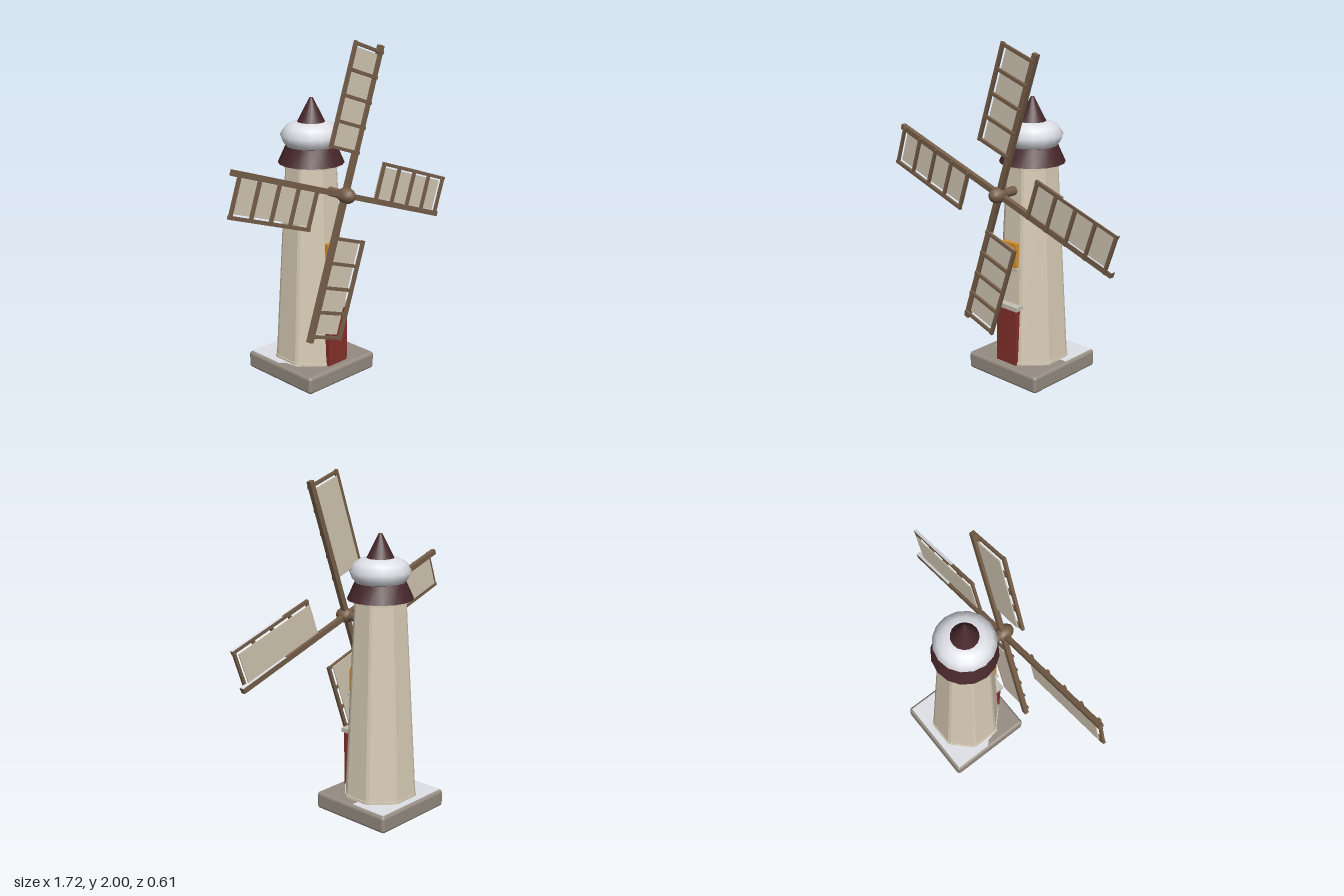
import * as THREE from 'three';
import { RoundedBoxGeometry } from 'three/addons/geometries/RoundedBoxGeometry.js';
import { toCreasedNormals } from 'three/addons/utils/BufferGeometryUtils.js';

const material = (name, color) => Object.assign(new THREE.MeshStandardMaterial({ color }), { name });

export function createModel() {
  const model = new THREE.Group();
  model.name = 'windmill';
  const plaster = material('cream plaster', 0xd9ccb6);
  const stone = material('grey stone', 0x958c81);
  const paleStone = material('pale stone', 0xc6c0b4);
  const wood = material('brown wood', 0x775f49);
  const cloth = material('sail cloth', 0xd2c7b3);
  const roof = material('maroon roof', 0x47272a);
  const snow = material('snow white', 0xeceef4);
  const red = material('red door paint', 0x84302a);
  const amber = material('amber glass', 0xd9922f);

  const add = (parent, name, geometry, mat, x = 0, y = 0, z = 0) => {
    const mesh = new THREE.Mesh(geometry, mat);
    mesh.name = name;
    mesh.position.set(x, y, z);
    parent.add(mesh);
    return mesh;
  };
  // Box given by its limits on each axis
  const box = (parent, name, mat, [x0, x1], [y0, y1], [z0, z1]) =>
    add(parent, name, new THREE.BoxGeometry(x1 - x0, y1 - y0, z1 - z0), mat,
      (x0 + x1) / 2, (y0 + y1) / 2, (z0 + z1) / 2);

  const axisZ = -0.036; // centre line of the tower

  // Octagonal frustum with narrow chamfers along its corners
  const octagon = (topApothem, bottomApothem, y0, y1) => {
    const step = Math.PI / 8, chamfer = 0.05;
    const k = 1 / Math.cos(step - chamfer);
    const geo = new THREE.CylinderGeometry(topApothem * k, bottomApothem * k, y1 - y0, 16);
    const p = geo.attributes.position;
    for (let i = 0; i < p.count; i++) {
      const r = Math.hypot(p.getX(i), p.getZ(i));
      if (r < 1e-6) continue;
      const n = (Math.round(Math.atan2(p.getX(i), p.getZ(i)) / step) + 16) % 16;
      const a = Math.floor(n / 2) * 2 * step + step + (n % 2 ? chamfer : -chamfer);
      p.setX(i, r * Math.sin(a));
      p.setZ(i, r * Math.cos(a));
    }
    const flat = geo.toNonIndexed();
    flat.computeVertexNormals();
    return flat.translate(0, (y0 + y1) / 2, 0);
  };

  // Base slab with a drift of snow over its back half
  add(model, 'baseSlab', new RoundedBoxGeometry(0.54, 0.105, 0.54, 3, 0.02), stone, 0, 0.0525, axisZ);
  const drift = new THREE.Shape([
    [-0.255, 0.29], [0.255, 0.29], [0.255, 0.05], [0.22, 0.055], [0.19, 0.03], [0.1, 0.03],
    [-0.1, 0.03], [-0.17, -0.09], [-0.21, -0.06], [-0.225, 0.02], [-0.255, 0.05],
  ].map(([x, y]) => new THREE.Vector2(x, y)));
  const driftGeo = new THREE.ExtrudeGeometry(drift, { depth: 0.004, bevelEnabled: false });
  add(model, 'baseSnow', driftGeo.rotateX(-Math.PI / 2), snow, 0, 0.104, 0);

  // Tower
  add(model, 'tower', octagon(0.146, 0.207, 0.1, 1.3), plaster, 0, 0, axisZ);
  add(model, 'towerPlinth', octagon(0.211, 0.212, 0.1, 0.122), plaster, 0, 0, axisZ);
  add(model, 'towerCollar', octagon(0.153, 0.153, 1.27, 1.295), plaster, 0, 0, axisZ);

  // Door and window on the front face
  box(model, 'door', red, [-0.075, 0.075], [0.104, 0.45], [0.1, 0.19]);
  box(model, 'doorLintel', paleStone, [-0.09, 0.09], [0.448, 0.474], [0.1, 0.197]);
  box(model, 'window', amber, [-0.055, 0.055], [0.695, 0.845], [0.1, 0.16]);
  box(model, 'windowSill', paleStone, [-0.07, 0.07], [0.68, 0.697], [0.1, 0.168]);

  // Cap: flared skirt, snowy dome, pointed finial
  add(model, 'roofSkirt', toCreasedNormals(new THREE.CylinderGeometry(0.148, 0.192, 0.098, 16), 0.6),
    roof, 0, 1.339, axisZ);
  const domeProfile = [[0.14, 1.385], [0.162, 1.41], [0.178, 1.452], [0.152, 1.497], [0.115, 1.518], [0.075, 1.527], [0.001, 1.53]]
    .map(([r, y]) => new THREE.Vector2(r, y));
  add(model, 'roofDome', new THREE.LatheGeometry(domeProfile, 16), snow, 0, 0, axisZ);
  add(model, 'roofFinial', toCreasedNormals(new THREE.CylinderGeometry(0.01, 0.083, 0.145, 16), 0.6),
    roof, 0, 1.591, axisZ);

  // Hub and shaft
  const hubY = 1.145;
  const hub = add(model, 'hub', new THREE.SphereGeometry(0.047, 12, 8).rotateX(Math.PI / 2), wood, 0, hubY, 0.247);
  hub.scale.z = 1.28;
  add(model, 'shaft', new THREE.CylinderGeometry(0.027, 0.027, 0.16, 12).rotateX(Math.PI / 2), wood, 0, hubY, 0.15);

  // Four sails, each an arm with a ladder frame and cloth on one side
  const rotor = new THREE.Group();
  rotor.name = 'rotor';
  rotor.position.y = hubY;
  rotor.rotation.z = -THREE.MathUtils.degToRad(18.8);
  model.add(rotor);
  for (let i = 0; i < 4; i++) {
    const sail = new THREE.Group();
    sail.name = 'sail';
    sail.rotation.z = -i * Math.PI / 2;
    rotor.add(sail);
    box(sail, 'sailArm', wood, [-0.016, 0.016], [0, 0.855], [0.222, 0.251]);
    box(sail, 'sailRail', wood, [-0.232, -0.212], [0.235, 0.828], [0.247, 0.264]);
    for (let r = 0; r < 5; r++) {
      const y = 0.246 + r * 0.1425;
      box(sail, 'sailRung', wood, [-0.222, 0.01], [y - 0.009, y + 0.009], [0.248, 0.263]);
    }
    box(sail, 'sailCloth', cloth, [-0.203, -0.018], [0.242, 0.8], [0.237, 0.243]);
    // Snow lying on the upper edges of the right-hand sail
    if (i === 1) {
      box(sail, 'armSnow', snow, [-0.019, -0.015], [0.517, 0.855], [0.222, 0.251]);
      box(sail, 'railSnow', snow, [-0.235, -0.231], [0.44, 0.828], [0.247, 0.264]);
    }
  }
  return model;
}
